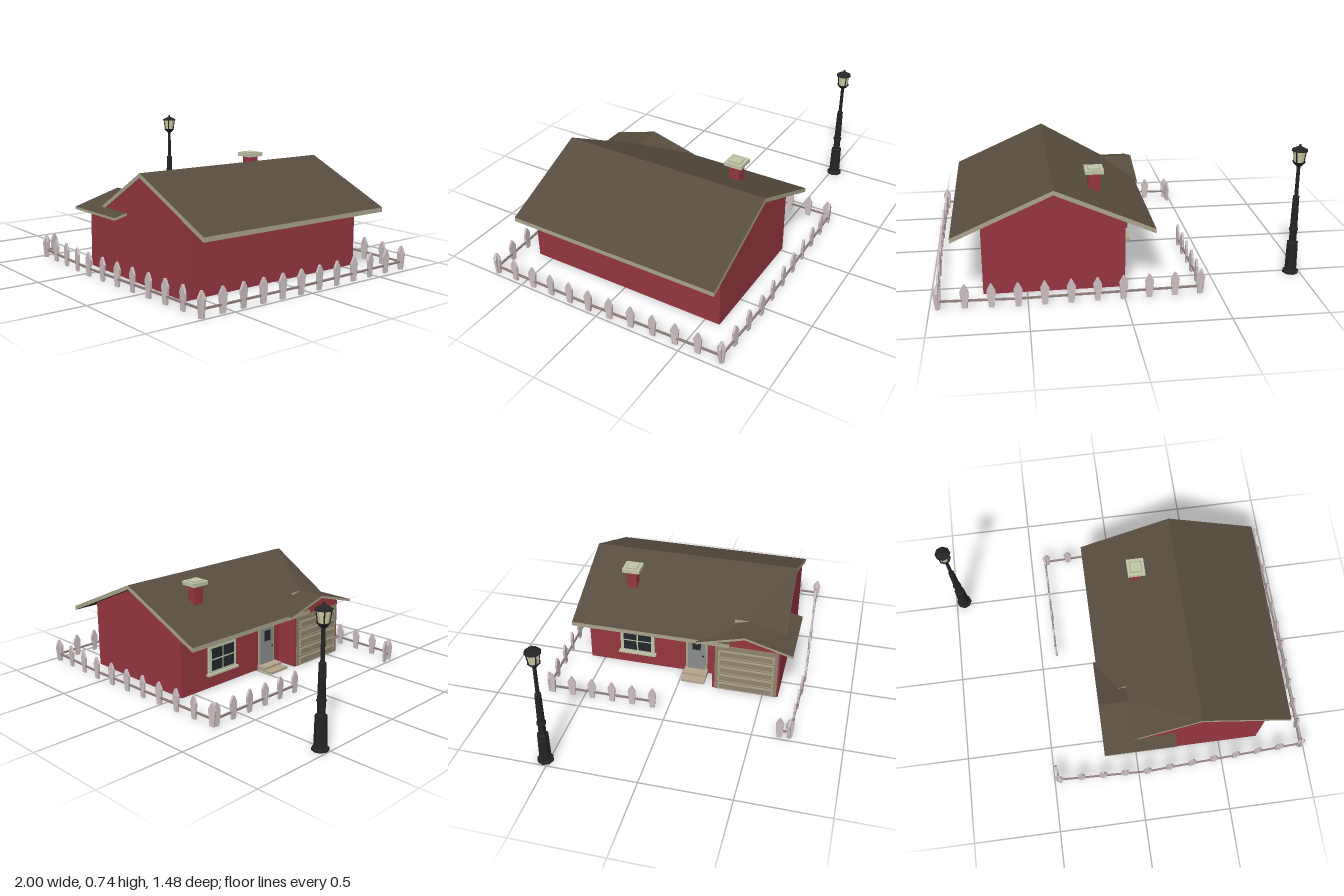
import * as THREE from 'three';

const mat = (color) => new THREE.MeshStandardMaterial({ color, flatShading: true });
const M = {
  wall: mat(0x963640), roof: mat(0x574c3f), under: mat(0x3a342c), trim: mat(0xaaa48c),
  cap: mat(0xc0c6aa), door: mat(0x8a8d8c), garage: mat(0x8f846d), glass: mat(0x23282b),
  step: mat(0xb5a58c), picket: mat(0xcdbfc1), rail: mat(0x92817f), iron: mat(0x222426), lamp: mat(0xd2cfa6),
};

function add(parent, name, geometry, material, x = 0, y = 0, z = 0) {
  const mesh = new THREE.Mesh(geometry, material);
  mesh.name = name;
  mesh.position.set(x, y, z);
  parent.add(mesh);
  return mesh;
}

// box given by its min and max corners
function box(parent, name, material, [x0, y0, z0], [x1, y1, z1]) {
  return add(parent, name, new THREE.BoxGeometry(x1 - x0, y1 - y0, z1 - z0), material,
    (x0 + x1) / 2, (y0 + y1) / 2, (z0 + z1) / 2);
}

function extrude(points, depth) {
  const shape = new THREE.Shape(points.map(([x, y]) => new THREE.Vector2(x, y)));
  return new THREE.ExtrudeGeometry(shape, { depth, bevelEnabled: false });
}

// roof panel: convex corners counter-clockwise from above, with trim sides and a dark underside
function panel(parent, name, corners, t) {
  const low = corners.map(([x, y, z]) => [x, y - t, z]);
  const n = corners.length, top = [], bottom = [], sides = [];
  for (let i = 1; i < n - 1; i++) {
    top.push(corners[0], corners[i], corners[i + 1]);
    bottom.push(low[0], low[i + 1], low[i]);
  }
  for (let i = 0; i < n; i++) {
    const j = (i + 1) % n;
    sides.push(corners[i], low[i], low[j], corners[i], low[j], corners[j]);
  }
  [[top, M.roof, ''], [bottom, M.under, 'Underside'], [sides, M.trim, 'Trim']].forEach(([tris, m, suffix]) => {
    const g = new THREE.BufferGeometry();
    g.setAttribute('position', new THREE.Float32BufferAttribute(tris.flat(), 3));
    g.computeVertexNormals();
    add(parent, name + suffix, g, m);
  });
}

function makeRoof() {
  const roof = new THREE.Group();
  roof.name = 'roof';
  const R0 = [0.355, 0.58, -0.635], R1 = [0.355, 0.58, 0.597];
  const B = [-0.02, 0.414, -0.635], G = [-0.02, 0.414, 0.39], V = [-0.02, 0.354, 0.597];
  const t = 0.025;
  panel(roof, 'rightSlope', [R0, R1, [0.885, 0.345, 0.597], [0.885, 0.345, -0.635]], t);
  panel(roof, 'leftSlope', [R0, B, G, R1], t);
  panel(roof, 'foldedCorner', [R1, G, V], t);
  panel(roof, 'leftEave', [B, [-0.175, 0.345, -0.635], [-0.175, 0.345, 0.3], [-0.02, 0.414, 0.3]], t);
  // cross gable over the garage, with the strip running on across the front wall
  const ridge = [-0.19, 0.414, 0.39];
  panel(roof, 'garageBackSlope', [[-0.19, 0.338, 0.11], ridge, G, [-0.02, 0.338, 0.11]], 0.014);
  panel(roof, 'garageFrontSlope', [ridge, [-0.19, 0.335, 0.663], [-0.02, 0.335, 0.663], V, G], 0.014);
  panel(roof, 'frontEave', [V, [-0.02, 0.335, 0.663], [0.22, 0.335, 0.663], [0.22, 0.354, 0.59]], 0.014);
  return roof;
}

function makeHouse() {
  const house = new THREE.Group();
  house.name = 'house';
  const gable = (left) => [[-0.02, 0], [0.73, 0], [0.73, 0.39], [0.355, 0.556], [-0.02, left]];
  add(house, 'mainWalls', extrude(gable(0.39), 0.965), M.wall, 0, 0, -0.585);
  add(house, 'frontWalls', extrude(gable(0.335), 0.21), M.wall, 0, 0, 0.38);
  const bay = extrude([[0.2, 0], [0.59, 0], [0.59, 0.335], [0.39, 0.395], [0.2, 0.345]], 0.125);
  add(house, 'garageWalls', bay.rotateY(-Math.PI / 2), M.wall, -0.02);

  // garage door with its frame and horizontal panels
  box(house, 'garageFrame', M.garage, [-0.15, 0, 0.215], [-0.14, 0.31, 0.58]);
  for (let i = 0; i < 5; i++) {
    const y = i * 0.057;
    box(house, 'garagePanel', M.trim, [-0.156, y + 0.006, 0.235], [-0.146, y + 0.051, 0.56]);
    box(house, 'garageInset', M.garage, [-0.158, y + 0.013, 0.245], [-0.15, y + 0.044, 0.55]);
  }

  // front door, steps
  box(house, 'doorFrame', M.trim, [-0.028, 0.02, 0.015], [-0.015, 0.27, 0.145]);
  box(house, 'door', M.door, [-0.033, 0.03, 0.027], [-0.02, 0.258, 0.133]);
  box(house, 'doorWindow', M.glass, [-0.035, 0.17, 0.055], [-0.03, 0.235, 0.105]);
  add(house, 'doorKnob', new THREE.IcosahedronGeometry(0.006), M.iron, -0.037, 0.13, 0.12);
  box(house, 'upperStep', M.step, [-0.085, 0.012, 0.01], [-0.02, 0.03, 0.15]);
  box(house, 'lowerStep', M.step, [-0.135, 0, 0.01], [-0.02, 0.014, 0.15]);

  // window with four panes
  box(house, 'windowFrame', M.cap, [-0.034, 0.085, -0.39], [-0.015, 0.255, -0.18]);
  for (const z of [-0.37, -0.28]) for (const y of [0.105, 0.175]) {
    box(house, 'windowPane', M.glass, [-0.037, y, z], [-0.03, y + 0.06, z + 0.08]);
  }
  box(house, 'windowSill', M.cap, [-0.045, 0.077, -0.4], [-0.02, 0.09, -0.17]);

  // chimney and its hollow cap
  box(house, 'chimney', M.wall, [0.09, 0.42, -0.375], [0.15, 0.575, -0.315]);
  box(house, 'chimneyCap', M.cap, [0.07, 0.572, -0.397], [0.17, 0.595, -0.293]);
  box(house, 'chimneyTop', M.trim, [0.085, 0.59, -0.38], [0.155, 0.597, -0.31]);
  box(house, 'chimneyFlue', M.cap, [0.09, 0.59, -0.375], [0.15, 0.599, -0.315]);
  house.add(makeRoof());
  return house;
}

function makeFence() {
  const fence = new THREE.Group();
  fence.name = 'fence';
  const picketGeo = extrude([[-0.014, 0], [0.014, 0], [0.023, 0.092], [0.004, 0.13], [-0.004, 0.13], [-0.023, 0.092]], 0.012);
  picketGeo.translate(0, 0, -0.006);
  // corner points of each straight run and the number of gaps between pickets
  const runs = [
    [[-0.48, 0.65], [-0.47, 0.705], 1], [[-0.47, 0.705], [0.05, 0.725], 4], [[0.05, 0.725], [0.977, 0.68], 7],
    [[0.977, 0.68], [0.98, 0.06], 5], [[0.98, 0.06], [0.957, -0.72], 6],
    [[0.957, -0.72], [0.55, -0.735], 3], [[0.55, -0.735], [-0.4, -0.71], 7],
    [[-0.41, -0.69], [-0.405, -0.09], 5],
  ];
  let k = 0;
  for (const [[x0, z0], [x1, z1], gaps] of runs) {
    const dx = x1 - x0, dz = z1 - z0, length = Math.hypot(dx, dz), angle = Math.atan2(-dz, dx);
    const rail = add(fence, 'fenceRail', new THREE.BoxGeometry(length + 0.02, 0.01, 0.01), M.rail,
      (x0 + x1) / 2, 0.042, (z0 + z1) / 2);
    rail.rotation.y = angle;
    for (let i = 0; i <= gaps; i++, k++) {
      const p = add(fence, 'picket', picketGeo, M.picket, x0 + dx * i / gaps, 0, z0 + dz * i / gaps);
      p.rotation.y = angle + 0.12 * Math.sin(k * 2.3);
    }
  }
  return fence;
}

function makeLamp() {
  const lamp = new THREE.Group();
  lamp.name = 'streetLamp';
  const lathe = (pts) => new THREE.LatheGeometry(pts.map(([r, y]) => new THREE.Vector2(r, y)), 8);
  add(lamp, 'lampPost', lathe([[0, 0], [0.045, 0], [0.045, 0.01], [0.034, 0.016], [0.031, 0.18], [0.021, 0.186],
    [0.021, 0.25], [0.026, 0.253], [0.026, 0.259], [0.021, 0.262], [0.018, 0.445], [0.011, 0.452],
    [0.01, 0.615], [0.017, 0.62], [0.036, 0.642], [0, 0.644]]), M.iron);
  add(lamp, 'lampGlass', new THREE.CylinderGeometry(0.036, 0.026, 0.065, 8), M.lamp, 0, 0.672, 0);
  add(lamp, 'lampRoof', lathe([[0, 0.703], [0.045, 0.703], [0.042, 0.71], [0.014, 0.724], [0.006, 0.727],
    [0.006, 0.738], [0, 0.74]]), M.iron);
  // thin bars around the glass
  for (let i = 0; i < 4; i++) {
    const a = i * Math.PI / 2 + Math.PI / 4;
    const bar = add(lamp, 'lampBar', new THREE.BoxGeometry(0.005, 0.066, 0.005), M.iron,
      Math.cos(a) * 0.032, 0.672, Math.sin(a) * 0.032);
    bar.rotation.set(Math.sin(a) * 0.15, 0, -Math.cos(a) * 0.15);
  }
  lamp.position.set(-0.953, 0, -0.52);
  return lamp;
}

export function createModel() {
  const model = new THREE.Group();
  model.name = 'houseWithFence';
  model.add(makeHouse(), makeFence(), makeLamp());
  return model;
}
